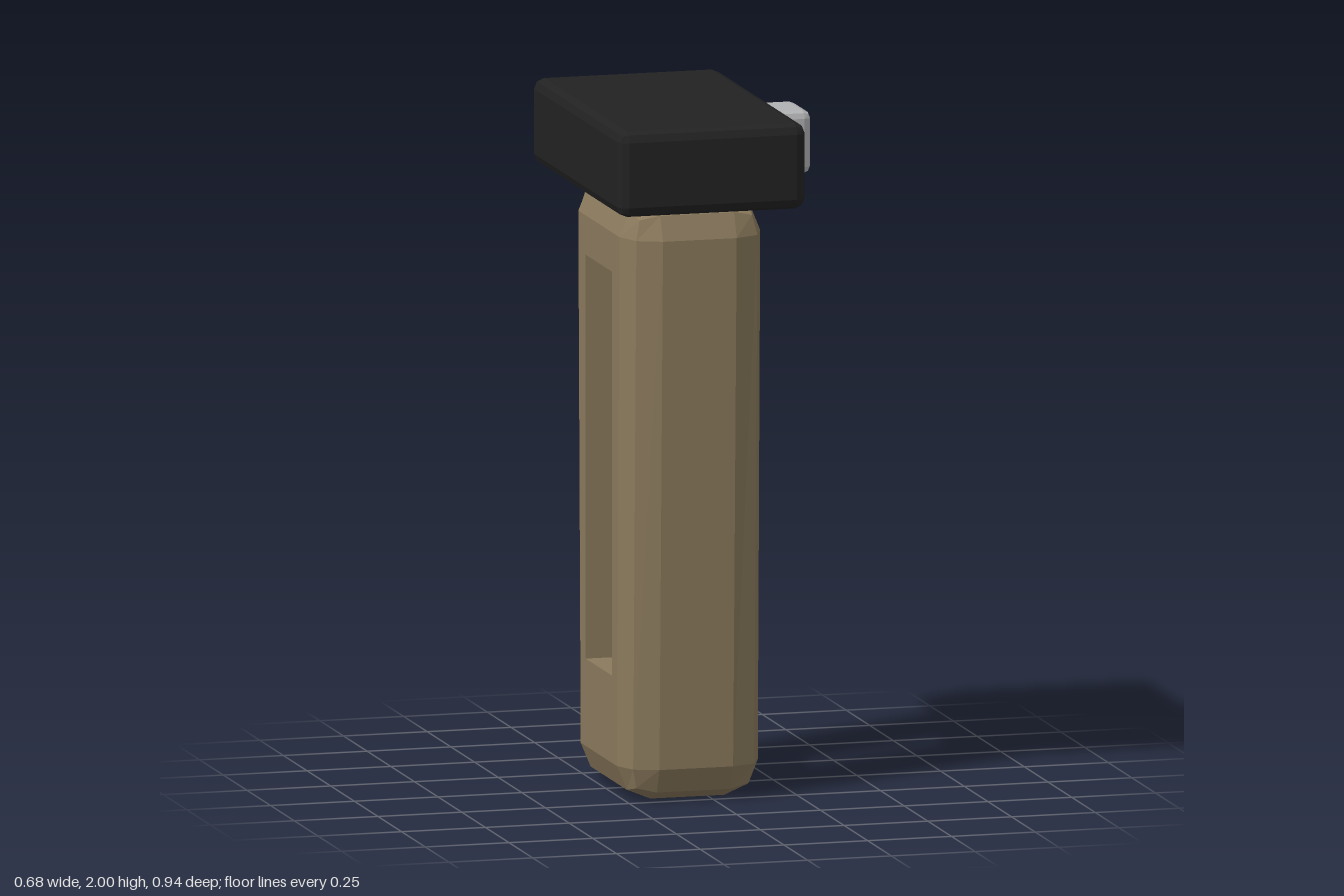
import * as THREE from 'three';
import { mergeGeometries } from 'three/addons/utils/BufferGeometryUtils.js';
import { RoundedBoxGeometry } from 'three/addons/geometries/RoundedBoxGeometry.js';

const material = (name, color) => {
  const m = new THREE.MeshStandardMaterial({ color });
  m.name = name;
  return m;
};

// Grip dimensions
const W = 0.42, H = 1.75, D = 0.61, R = 0.1, CENTER_X = -0.06;
const SLOT = { y0: 0.355, y1: 1.535, z: 0.14 };
const taper = (y) => 1 + (y - H / 2) * 0.08;

// Keep positions only, with faceted normals
function faceted(geometry) {
  const g = geometry.index ? geometry.toNonIndexed() : geometry;
  const out = new THREE.BufferGeometry();
  out.setAttribute('position', g.getAttribute('position').clone());
  out.computeVertexNormals();
  return out;
}

// Box with edges rounded in two facets
const bevelBox = (w, h, d, r) => faceted(new RoundedBoxGeometry(w, h, d, 1, r));

// Tapered bevelled body, left open on its two flat sides
function gripShell() {
  const p = bevelBox(W, H, D, R).translate(0, H / 2, 0).getAttribute('position');
  const kept = [];
  for (let i = 0; i < p.count; i += 3) {
    const corners = [i, i + 1, i + 2];
    if (corners.every((k) => Math.abs(p.getX(k)) > W / 2 - 1e-4)) continue;
    for (const k of corners) kept.push(p.getX(k), p.getY(k), p.getZ(k) * taper(p.getY(k)));
  }
  const g = new THREE.BufferGeometry();
  g.setAttribute('position', new THREE.Float32BufferAttribute(kept, 3));
  g.computeVertexNormals();
  return g;
}

// Flat side panel with the slot cut out
function gripSide(side) {
  const lo = (D / 2 - R) * taper(R), hi = (D / 2 - R) * taper(H - R);
  const points = (list) => list.map(([z, y]) => new THREE.Vector2(z, y));
  const shape = new THREE.Shape(points([[-lo, R], [lo, R], [hi, H - R], [-hi, H - R]]));
  const { y0, y1, z } = SLOT;
  shape.holes.push(new THREE.Path(points([[-z, y0], [-z, y1], [z, y1], [z, y0]])));
  return faceted(new THREE.ShapeGeometry(shape).rotateY(side * Math.PI / 2).translate(side * W / 2, 0, 0));
}

// Inner walls of the slot, facing inwards
function slotWalls() {
  const g = new THREE.BoxGeometry(W, SLOT.y1 - SLOT.y0, SLOT.z * 2);
  const index = Array.from(g.index.array).slice(12);
  g.setIndex(index.reverse());
  return faceted(g.translate(0, (SLOT.y0 + SLOT.y1) / 2, 0));
}

export function createModel() {
  const tan = material('tan', 0x8b7a5d);
  const black = material('black', 0x222222);
  const grey = material('light grey', 0xb0b1b3);
  const model = new THREE.Group();
  model.name = 'slottedGrip';

  const add = (name, geometry, mat, x, y, z) => {
    const mesh = new THREE.Mesh(geometry, mat);
    mesh.name = name;
    mesh.position.set(x, y, z);
    model.add(mesh);
  };

  // Grip with a slot through it
  add('grip', mergeGeometries([gripShell(), gripSide(1), gripSide(-1), slotWalls()]), tan, CENTER_X, 0, 0);
  // Mounting block on top
  add('mountBlock', bevelBox(0.56, 0.25, 0.935, 0.03), black, CENTER_X, 1.875, 0);
  // Side button, partly sunk into the block
  add('sideButton', bevelBox(0.185, 0.185, 0.185, 0.022), grey, 0.2475, 1.873, 0);
  return model;
}
